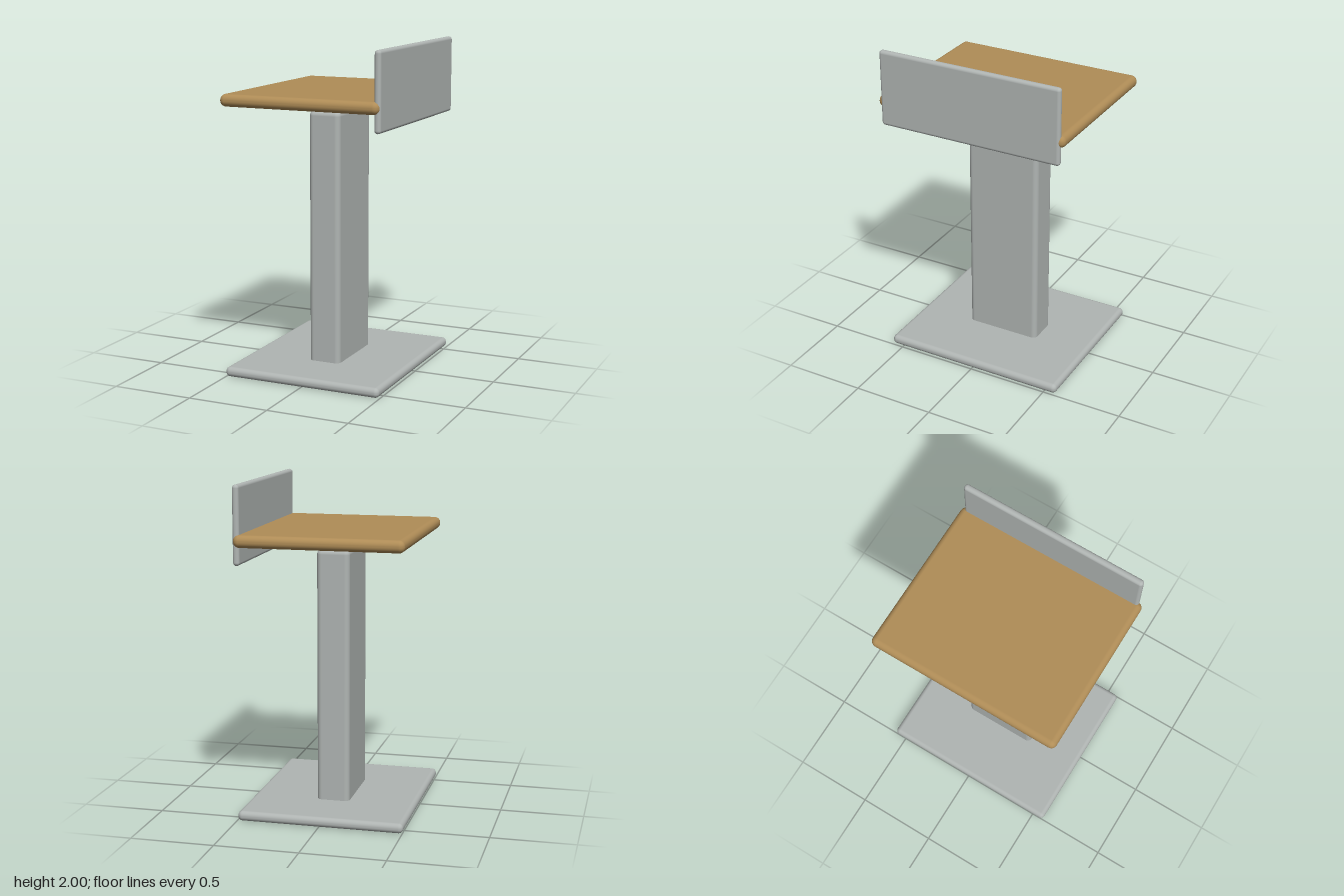
import * as THREE from 'three';
import { RoundedBoxGeometry } from 'three/addons/geometries/RoundedBoxGeometry.js';

export function createModel() {
  const group = new THREE.Group();
  group.name = 'lectern';

  const metal = new THREE.MeshStandardMaterial({ color: 0xb0b5b3 });
  metal.name = 'light grey';
  const wood = new THREE.MeshStandardMaterial({ color: 0xb08d57 });
  wood.name = 'tan wood';

  // Soft-edged block given by its size, bottom height and x position
  function block(name, material, [w, h, d], bottom, x, radius) {
    const mesh = new THREE.Mesh(new RoundedBoxGeometry(w, h, d, 4, radius), material);
    mesh.name = name;
    mesh.position.set(x, bottom + h / 2, 0);
    group.add(mesh);
  }

  block('base', metal, [1.0, 0.06, 1.154], 0.003, -0.004, 0.028);
  block('post', metal, [0.2, 1.57, 0.47], 0.03, -0.004, 0.031);
  // The top floats slightly above the post
  block('deskTop', wood, [1.0, 0.074, 1.204], 1.641, -0.004, 0.035);
  block('sidePanel', metal, [0.04, 0.465, 1.154], 1.535, 0.481, 0.019);

  return group;
}
